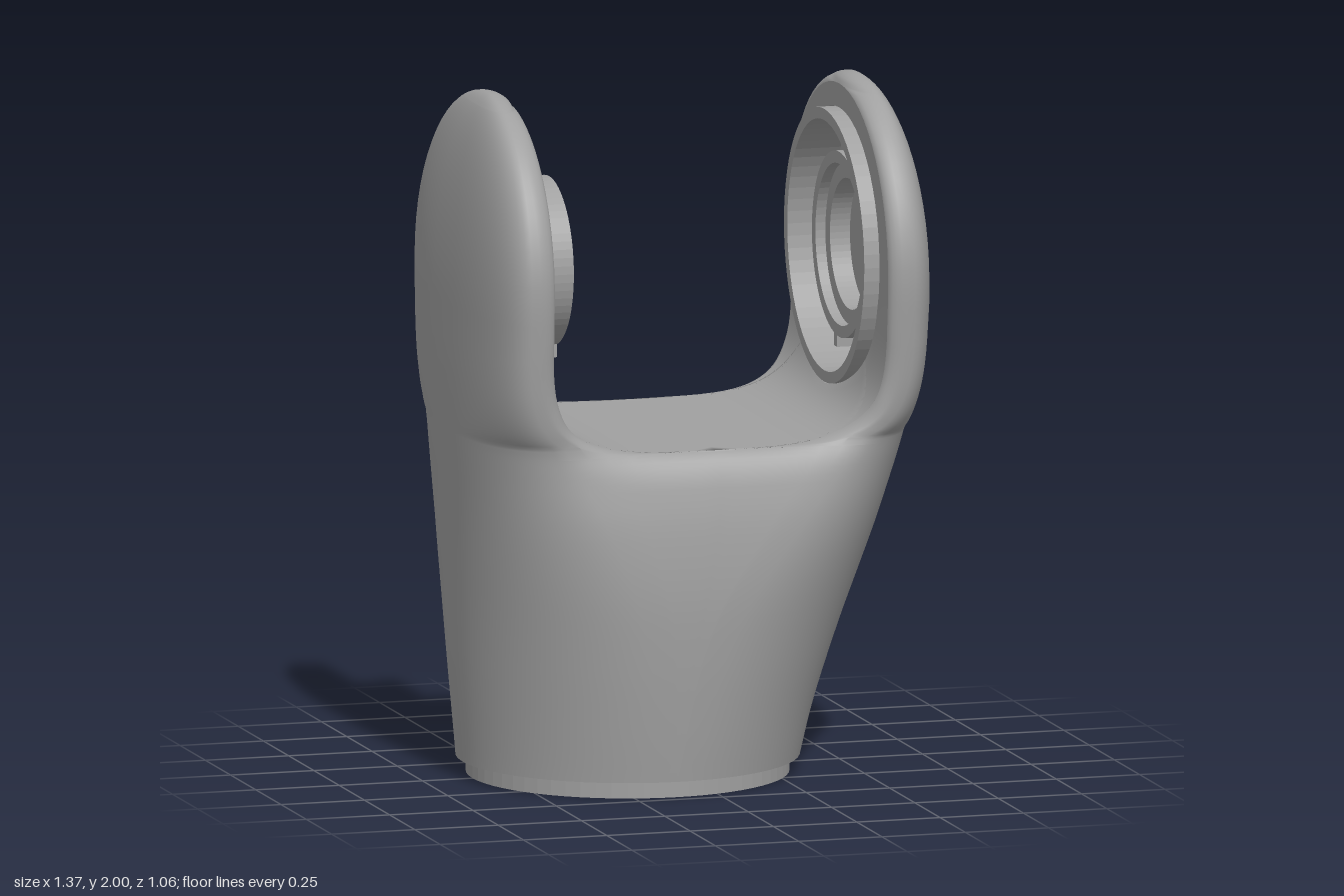
import * as THREE from 'three';
import { mergeVertices } from 'three/addons/utils/BufferGeometryUtils.js';

const CY = 1.5; // height of the joint axis
const BASE_X = -0.135; // centre of the round base
const clamp01 = v => Math.min(1, Math.max(0, v));
const smooth = v => THREE.MathUtils.smoothstep(v, 0, 1);
const arc = v => Math.sqrt(Math.max(0, 1 - v * v));

// Smooth curve through [y, value] pairs
function curve(p) {
  const slope = i => {
    const a = p[Math.max(0, i - 1)], b = p[Math.min(p.length - 1, i + 1)];
    return (b[1] - a[1]) / (b[0] - a[0]);
  };
  return y => {
    let i = 0;
    while (i < p.length - 2 && y > p[i + 1][0]) i++;
    const h = p[i + 1][0] - p[i][0], t = clamp01((y - p[i][0]) / h), t2 = t * t, t3 = t2 * t;
    return (2 * t3 - 3 * t2 + 1) * p[i][1] + (t3 - 2 * t2 + t) * h * slope(i)
      + (3 * t2 - 2 * t3) * p[i + 1][1] + (t3 - t2) * h * slope(i + 1);
  };
}

// Half depth, outer reach and start of the rounded side, per height
const depthLow = curve([[0.05, 0.495], [0.2, 0.51], [0.4, 0.525], [0.6, 0.53], [0.8, 0.515], [0.95, 0.487], [1.02, 0.48], [1.2, 0.495], [1.4, 0.512], [1.485, 0.515]]);
const reach = {
  1: curve([[0.05, 0.36], [0.2, 0.395], [0.4, 0.455], [0.6, 0.52], [0.8, 0.583], [1, 0.635], [1.2, 0.67], [1.4, 0.683]]),
  [-1]: curve([[0.05, 0.63], [0.3, 0.648], [0.6, 0.663], [0.8, 0.672], [1, 0.682], [1.2, 0.687], [1.4, 0.687]]),
};
const shoulder = {
  1: curve([[0.05, -0.135], [0.5, -0.03], [0.8, 0.18], [1, 0.37], [1.2, 0.5], [1.4, 0.55]]),
  [-1]: curve([[0.05, 0.135], [0.5, 0.17], [0.8, 0.28], [1, 0.4], [1.2, 0.5], [1.4, 0.55]]),
};
const depth = y => y > 1.485 ? 0.515 * arc((y - 1.485) / 0.515) : depthLow(y);

// Inner edge of each half: the middle seam below, the U-shaped saddle above
function inner(s, y) {
  if (y < 1) return s * BASE_X * (1 - smooth((y - 0.05) / 0.95));
  if (y > 1.97) return 0.55 - 0.05 * arc((y - 1.97) / 0.03);
  return y > 1.4 ? 0.5 : 0.5 * (1 - (1 - (y - 1) / 0.4) ** 4) ** 0.25;
}
const edge = (s, y) => y <= 1 ? 0 : smooth(inner(s, y) / 0.3);
const rim = (s, y) => y > 1.485 ? 0.485 * arc(Math.min(1, (y - 1.485) / 0.485)) : depth(y) - 0.03 * edge(s, y);

// Final point, with the saddle's front and back edges rounded over
function place(s, u, y, z) {
  const a = Math.abs(u);
  if (a < 0.5 && y < 1.15) {
    const d = 1 + 0.4 * (1 - (1 - (a / 0.5) ** 4) ** 0.25) - y;
    const f = 1 - arc(clamp01(1 - d / 0.1));
    z *= 1 - 0.1 * f * (1 - smooth((y - 1) / 0.15));
  }
  return [s * u, y, z];
}

// Horizontal cross-section of one half, from back inner edge round to front
function section(s, y) {
  const b = depth(y), xi = inner(s, y), ri = rim(s, y);
  const k = y > 1.97 ? 0.55 - xi : 0.05 * edge(s, y);
  const B = Math.max(shoulder[s](y), xi + k);
  const X = y > 1.4 ? 0.55 + (reach[s](1.4) - 0.55) * arc((y - 1.4) / 0.6) : reach[s](y);
  const e = 2 / (2 + 0.6 * smooth((y - 0.05) / 1.1));
  const half = [];
  for (let i = 0; i <= 14; i++) {
    const t = i / 14 * Math.PI / 2;
    half.push([B + (X - B) * Math.max(0, Math.cos(t)) ** e, b * Math.sin(t) ** e]);
  }
  for (let i = 1; i <= 6; i++) half.push([B + (xi + k - B) * i / 6, b]);
  for (let i = 1; i <= 5; i++) {
    const t = i / 5 * Math.PI / 2;
    half.push([xi + k - k * Math.sin(t), ri + (b - ri) * Math.cos(t)]);
  }
  const back = half.slice(1).reverse().map(([u, z]) => [u, -z]);
  return [...back, ...half].map(([u, z]) => place(s, u, y, z));
}

// Triangles between successive rows of points
function addRows(pos, rows, flip) {
  for (let i = 0; i < rows.length - 1; i++) for (let j = 0; j < rows[i].length - 1; j++) {
    const a = rows[i][j], b = rows[i][j + 1], c = rows[i + 1][j + 1], d = rows[i + 1][j];
    pos.push(...(flip ? [a, b, c, a, c, d] : [a, c, b, a, d, c]).flat());
  }
}
function toGeometry(pos) {
  let g = new THREE.BufferGeometry();
  g.setAttribute('position', new THREE.Float32BufferAttribute(pos, 3));
  g = mergeVertices(g, 1e-4);
  g.computeVertexNormals();
  return g;
}

export function createModel() {
  const model = new THREE.Group();
  const grey = new THREE.MeshStandardMaterial({ color: 0xa0a0a0, side: THREE.DoubleSide });
  grey.name = 'grey';
  const add = (name, geometry, x = 0, y = 0, z = 0) => {
    const m = new THREE.Mesh(geometry, grey);
    m.name = name;
    m.position.set(x, y, z);
    model.add(m);
    return m;
  };

  // Heights of the cross-sections, denser at the saddle and the tips
  const low = [], high = [1];
  const sweep = (n, f) => Array.from({ length: n }, (_, i) => f((i + 1) / n * Math.PI / 2));
  for (let i = 0; i <= 18; i++) low.push(0.05 + 0.85 * i / 18);
  low.push(...sweep(7, t => 0.9 + 0.1 * Math.sin(t)).slice(0, -1));
  high.push(...sweep(22, t => 1.4 - 0.4 * Math.sqrt(Math.max(0, Math.cos(t)))));
  high.push(...sweep(16, t => 1.4 + 0.57 * Math.sin(t)));
  const tip = sweep(5, t => 1.97 + 0.03 * Math.sin(t));

  // Fork body with a round opening in the inner face of each arm
  const skin = [];
  for (const s of [1, -1]) {
    addRows(skin, [...low, ...high, ...tip].map(y => section(s, y)), s < 0);
    const R = s > 0 ? 0.4 : 0.42, border = [];
    for (let i = 0; i < 16; i++) border.push([depth(1) * (i / 8 - 1), 1]);
    for (const y of high) border.push([rim(s, y), y]);
    for (const y of [...high].reverse()) border.push([-rim(s, y), y]);
    const face = [], wall = [[], []];
    for (let j = 0; j <= 16; j++) {
      const w = (j / 16) ** 3;
      face.push(border.map(([z, y]) => {
        const r = R / Math.hypot(z, y - CY);
        const pz = z + (z * r - z) * w, py = y + (CY + (y - CY) * r - y) * w;
        if (j === 16) wall[1].push([s * 0.595, py, pz]);
        return place(s, inner(s, py), py, pz);
      }));
    }
    wall[0] = face[16];
    addRows(skin, face, s < 0);
    const pocket = [];
    addRows(pocket, wall, s < 0);
    add('pocketWall', toGeometry(pocket));
    add('pocketFloor', new THREE.CircleGeometry(R, 48).rotateY(-s * Math.PI / 2), s * 0.595, CY);
  }
  add('forkBody', toGeometry(skin));

  // Flat-sided ring or disc, cut with holes, facing +z
  const circle = (r, x = 0, y = 0, C = THREE.Path) => new C().absarc(x, y, r, 0, Math.PI * 2);
  const plate = (r, holes, d) => {
    const shape = circle(r, 0, 0, THREE.Shape);
    shape.holes.push(...holes);
    return new THREE.ExtrudeGeometry(shape, { depth: d, bevelEnabled: false, curveSegments: 32 });
  };
  const around = (n, r, f) => Array.from({ length: n }, (_, i) => {
    const a = i / n * Math.PI * 2;
    return f(r * Math.cos(a), r * Math.sin(a), a);
  });

  // Right arm: protruding sleeve and stepped bearing seat
  const ring = (name, r, ri, x0, x1) => add(name, plate(r, [circle(ri)], x1 - x0).rotateY(Math.PI / 2), x0, CY);
  ring('socketSleeve', 0.398, 0.365, 0.455, 0.59);
  ring('bearingSeat', 0.27, 0.235, 0.5, 0.59);
  ring('bearingStep', 0.235, 0.19, 0.53, 0.59);
  for (const z of [-0.1, 0.1]) add('socketTab', new THREE.BoxGeometry(0.06, 0.07, 0.03), 0.55, CY - 0.28, z);

  // Left arm: drive hub with bolt holes and a triangular centre
  const tri = new THREE.Path(around(3, 0.11, (x, y) => new THREE.Vector2(x, y)));
  const bolts = [];
  for (let g = 0; g < 3; g++) for (const o of [-0.36, 0, 0.36]) {
    const a = g * Math.PI * 2 / 3 + Math.PI / 3 + o;
    bolts.push(circle(0.025, 0.185 * Math.cos(a), 0.185 * Math.sin(a)));
  }
  add('driveHub', plate(0.245, [tri, ...bolts], 0.225).rotateY(Math.PI / 2), -0.595, CY);
  ring('hubCollar', 0.3, 0.24, -0.595, -0.5);
  add('hubKey', new THREE.BoxGeometry(0.13, 0.05, 0.16), -0.435, CY - 0.245);
  add('hubSideKey', new THREE.BoxGeometry(0.13, 0.12, 0.05), -0.435, CY, -0.25);
  for (const a of [-2.2, -1.57, -0.94, 0.6, 2.54]) {
    const rib = add('pocketRib', new THREE.BoxGeometry(0.07, 0.13, 0.025), -0.56, CY + 0.355 * Math.sin(a), 0.355 * Math.cos(a));
    rib.rotation.x = Math.PI / 2 - a;
  }

  // Base: flange, recessed bolt plate, bosses and hollow core
  const flat = (name, r, ri, y0, y1) => add(name, plate(r, [circle(ri)], y1 - y0).rotateX(-Math.PI / 2), BASE_X, y0);
  flat('baseShoulder', 0.494, 0.42, 0.05, 0.06);
  flat('baseFlange', 0.465, 0.415, 0, 0.055);
  flat('coreRing', 0.29, 0.26, 0.005, 0.3);
  add('boltPlate', plate(0.42, [circle(0.27), ...around(10, 0.35, (x, y) => circle(0.028, x, y))], 0.03).rotateX(-Math.PI / 2), BASE_X, 0.05);
  around(10, 0.35, (x, z, a) => {
    add('boltBoss', plate(0.052, [circle(0.028)], 0.06).rotateX(-Math.PI / 2), BASE_X + x, 0.005, z);
    const web = add('bossWeb', new THREE.BoxGeometry(0.14, 0.04, 0.02), BASE_X + x * Math.cos(0.314) - z * Math.sin(0.314), 0.035, z * Math.cos(0.314) + x * Math.sin(0.314));
    web.rotation.y = -a - 0.314;
  });
  add('coreCeiling', new THREE.CircleGeometry(0.29, 40).rotateX(Math.PI / 2), BASE_X, 0.3);
  add('coreRib', new THREE.BoxGeometry(0.52, 0.12, 0.025), BASE_X, 0.24);
  add('coreRib', new THREE.BoxGeometry(0.025, 0.12, 0.52), BASE_X, 0.24);
  return model;
}
